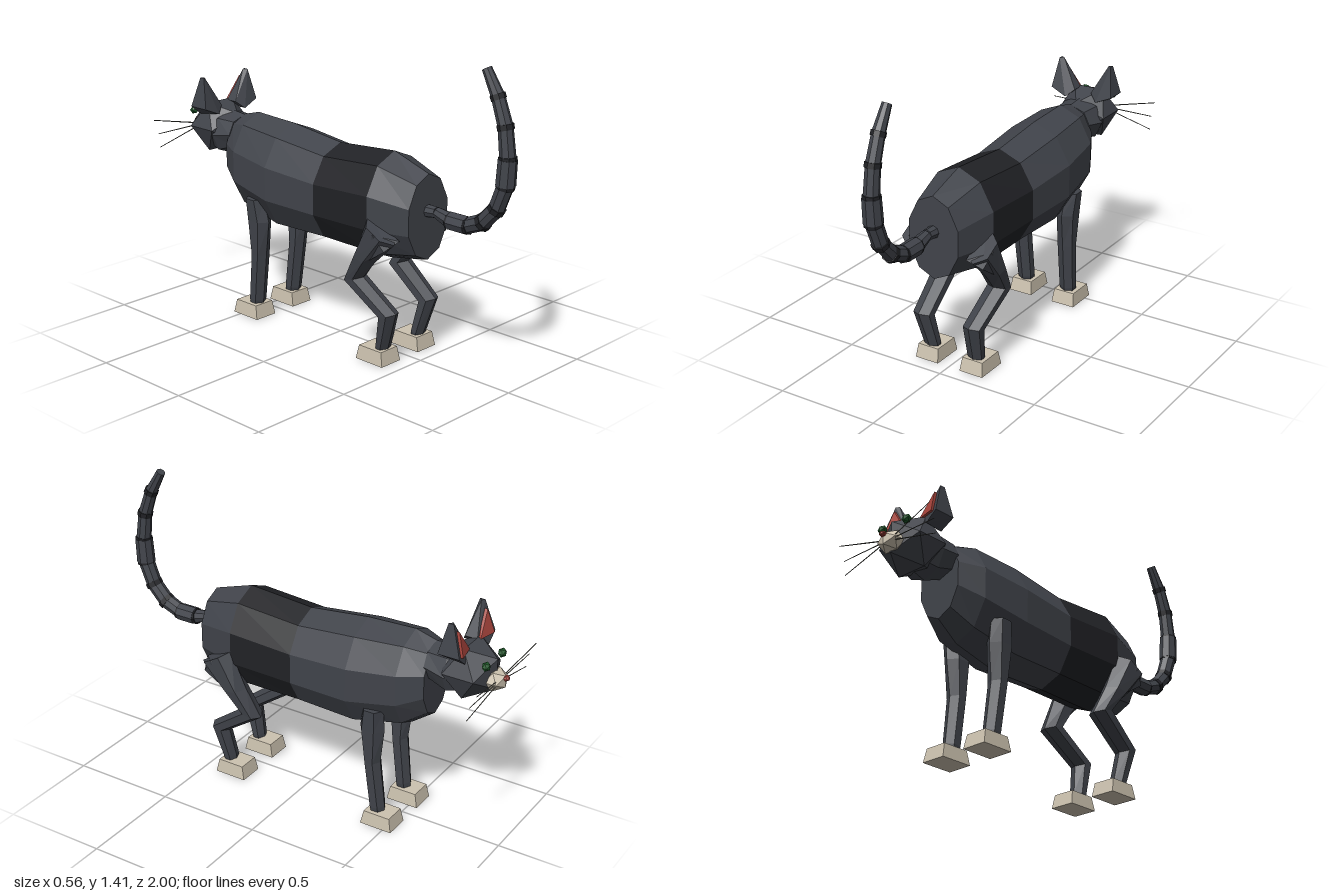
import * as THREE from 'three';
import { ConvexGeometry } from 'three/addons/geometries/ConvexGeometry.js';

const V = (x, y, z) => new THREE.Vector3(x, y, z);
const material = (color) => new THREE.MeshStandardMaterial({ color, flatShading: true });
const fur = material(0x41444b), darkFur = material(0x212226), cream = material(0xcdc3b0);
const red = material(0xa8443c), green = material(0x1f5a2a), grey = material(0x66665f);

export function createModel() {
  const model = new THREE.Group();

  function add(parent, name, geometry, mat) {
    const mesh = new THREE.Mesh(geometry, mat);
    mesh.name = name;
    parent.add(mesh);
    return mesh;
  }

  function group(name) {
    const g = new THREE.Group();
    g.name = name;
    model.add(g);
    return g;
  }

  // Capped skin over elliptical rings { c: centre, u, v: half axes }
  function loft(rings, sides) {
    const pos = [], index = [];
    for (const { c, u, v } of rings) {
      for (let i = 0; i < sides; i++) {
        const a = Math.PI / 2 + (i / sides) * Math.PI * 2;
        pos.push(...c.clone().addScaledVector(u, Math.cos(a)).addScaledVector(v, Math.sin(a)).toArray());
      }
    }
    for (let j = 0; j < rings.length - 1; j++) {
      for (let i = 0; i < sides; i++) {
        const a = j * sides + i, b = j * sides + (i + 1) % sides;
        index.push(a, b, b + sides, a, b + sides, a + sides);
      }
    }
    const last = (rings.length - 1) * sides;
    for (let i = 1; i < sides - 1; i++) index.push(0, i + 1, i, last, last + i, last + i + 1);
    const g = new THREE.BufferGeometry();
    g.setAttribute('position', new THREE.Float32BufferAttribute(pos, 3));
    g.setIndex(index);
    g.computeVertexNormals();
    return g;
  }

  // Upright ring from z, top, bottom and half width
  const section = ([z, top, bottom, w]) => ({
    c: V(0, (top + bottom) / 2, z), u: V(w, 0, 0), v: V(0, (top - bottom) / 2, 0),
  });

  // Limb ring from centre x, half width and its front and back points in y, z
  const limbRing = (side) => ([x, w, fy, fz, by, bz]) => ({
    c: V(side * x, (fy + by) / 2, (fz + bz) / 2), u: V(w, 0, 0), v: V(0, (by - fy) / 2, (bz - fz) / 2),
  });

  function rod(parent, name, a, b, ra, rb, sides, mat) {
    const d = b.clone().sub(a);
    const mesh = add(parent, name, new THREE.CylinderGeometry(rb, ra, d.length(), sides), mat);
    mesh.position.copy(a).add(b).multiplyScalar(0.5);
    mesh.quaternion.setFromUnitVectors(V(0, 1, 0), d.normalize());
  }

  function ball(parent, name, center, size, mat) {
    const mesh = add(parent, name, new THREE.IcosahedronGeometry(1, 0), mat);
    mesh.position.copy(center);
    mesh.scale.copy(size);
  }

  // Torso with a dark band in front of the rump
  const torso = group('torso');
  const sections = [
    [-0.65, 0.94, 0.58, 0.12], [-0.54, 0.97, 0.5, 0.18], [-0.3, 0.96, 0.445, 0.205],
    [0, 0.925, 0.455, 0.19], [0.33, 0.95, 0.45, 0.19], [0.53, 0.885, 0.49, 0.135],
  ].map(section);
  add(torso, 'chest', loft(sections.slice(0, 4), 10), fur);
  add(torso, 'darkBand', loft(sections.slice(3, 5), 10), darkFur);
  add(torso, 'rump', loft(sections.slice(4), 10), fur);

  // Neck and head
  const head = group('head');
  add(head, 'neck', loft([
    [-0.84, 0.92, 0.76, 0.09], [-0.74, 0.95, 0.73, 0.12], [-0.64, 0.94, 0.77, 0.105],
  ].map(section), 8), fur);
  ball(head, 'skull', V(0, 0.862, -0.815), V(0.15, 0.14, 0.145), fur);
  ball(head, 'muzzle', V(0, 0.838, -0.935), V(0.067, 0.052, 0.055), cream);
  ball(head, 'nose', V(0, 0.857, -0.984), V(0.018, 0.014, 0.017), red);

  for (const s of [1, -1]) {
    const side = s > 0 ? 'right' : 'left';
    // Ear: wedge with a coloured inner triangle
    add(head, side + 'Ear', new ConvexGeometry([
      V(s * 0.045, 0.975, -0.755), V(s * 0.045, 0.975, -0.815),
      V(s * 0.165, 0.975, -0.735), V(s * 0.165, 0.975, -0.84),
      V(s * 0.085, 0.94, -0.73), V(s * 0.11, 0.93, -0.84),
      V(s * 0.125, 1.12, -0.785), V(s * 0.142, 1.12, -0.77), V(s * 0.142, 1.12, -0.795),
    ]), fur);
    add(head, side + 'InnerEar', new ConvexGeometry([
      V(s * 0.05, 0.975, -0.828), V(s * 0.145, 0.975, -0.848), V(s * 0.128, 1.085, -0.816),
      V(s * 0.06, 0.975, -0.8), V(s * 0.14, 0.975, -0.8), V(s * 0.128, 1.085, -0.79),
    ]), red);
    ball(head, side + 'Eye', V(s * 0.075, 0.928, -0.922), V(0.024, 0.022, 0.02), green);
    for (const [y, z] of [[0.9, -0.985], [0.838, -0.955], [0.773, -0.945]]) {
      rod(head, side + 'Whisker', V(s * 0.035, 0.838 + (y - 0.838) * 0.15, -0.955), V(s * 0.28, y, z), 0.003, 0.002, 4, grey);
    }
  }

  // Legs and paws
  const frontLeg = [
    [0.14, 0.05, 0.6, -0.47, 0.6, -0.365], [0.13, 0.052, 0.49, -0.47, 0.49, -0.345],
    [0.125, 0.046, 0.32, -0.45, 0.32, -0.37], [0.12, 0.042, 0.09, -0.475, 0.08, -0.4],
    [0.12, 0.036, 0.05, -0.475, 0.05, -0.41],
  ];
  const hindLeg = [
    [0.175, 0.06, 0.68, 0.33, 0.59, 0.49], [0.165, 0.06, 0.5, 0.255, 0.48, 0.37],
    [0.15, 0.055, 0.36, 0.185, 0.385, 0.285], [0.135, 0.05, 0.225, 0.38, 0.25, 0.468],
    [0.12, 0.044, 0.085, 0.355, 0.07, 0.41], [0.12, 0.036, 0.04, 0.35, 0.04, 0.4],
  ];
  for (const s of [1, -1]) {
    const side = s > 0 ? 'right' : 'left';
    const legs = group(side + 'Legs');
    add(legs, side + 'FrontLeg', loft(frontLeg.map(limbRing(s)), 6), fur);
    add(legs, side + 'HindLeg', loft(hindLeg.map(limbRing(s)), 6), fur);
    // Haunch flaring out from the rump
    add(legs, side + 'Haunch', new ConvexGeometry([
      V(s * 0.14, 0.68, 0.33), V(s * 0.14, 0.6, 0.49), V(s * 0.23, 0.63, 0.41),
      V(s * 0.21, 0.56, 0.46), V(s * 0.19, 0.6, 0.32), V(s * 0.2, 0.48, 0.34), V(s * 0.13, 0.48, 0.3),
    ]), fur);
    for (const [name, z] of [['FrontPaw', -0.463], ['HindPaw', 0.35]]) {
      const paw = new THREE.BoxGeometry(0.122, 0.066, 0.16);
      const p = paw.attributes.position;
      for (let i = 0; i < p.count; i++) {
        if (p.getY(i) > 0) p.setXYZ(i, p.getX(i) * 0.88, p.getY(i), p.getZ(i) * 0.83);
      }
      add(legs, side + name, paw, cream).position.set(s * 0.121, 0.033, z);
    }
  }

  // Curved tail of tapering links with dark joints
  const tail = group('tail');
  const links = [
    [0.715, 0.5, 0.032], [0.72, 0.58, 0.026], [0.7, 0.66, 0.036], [0.7, 0.75, 0.036],
    [0.735, 0.835, 0.037], [0.81, 0.905, 0.037], [0.92, 0.948, 0.038], [1.035, 0.955, 0.036],
    [1.17, 0.938, 0.033], [1.29, 0.895, 0.03], [1.4, 0.832, 0.022],
  ];
  const points = links.map(([y, z]) => V(0, y, z));
  for (let i = 0; i < links.length - 1; i++) {
    const wide = i === 2 || i === 6 ? 0.006 : 0;
    rod(tail, 'tailLink', points[i], points[i + 1], links[i][2] + wide, links[i + 1][2] + wide, 8, fur);
    if (i > 1) {
      const d = points[i + 1].clone().sub(points[i - 1]).setLength(0.012);
      const r = links[i][2] + 0.004;
      rod(tail, 'tailJoint', points[i].clone().sub(d), points[i].clone().add(d), r, r, 8, darkFur);
    }
  }
  return model;
}
